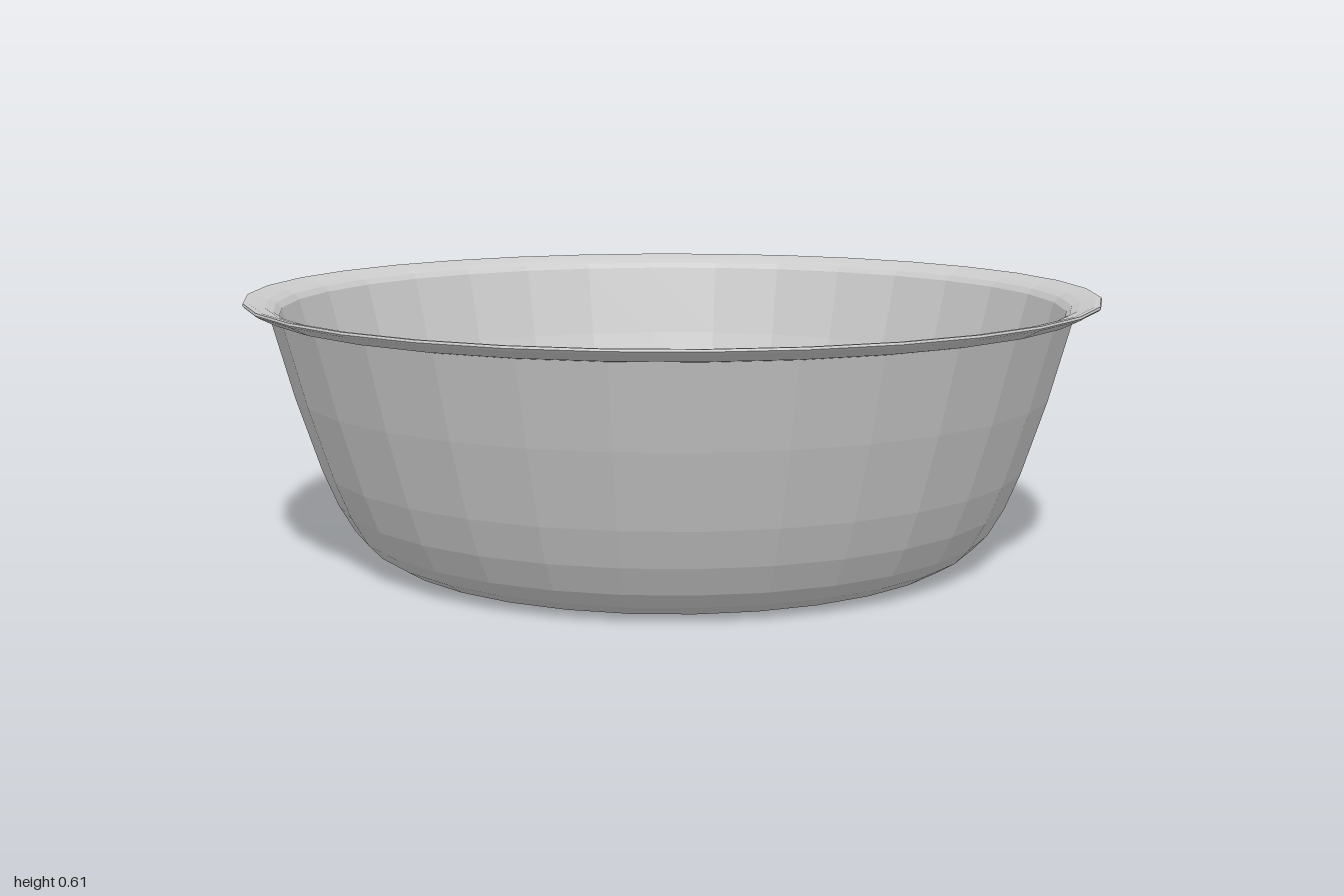
import * as THREE from 'three';

const SIDES = 32;

// Profile halves as [radius, height]
const outerWall = [
  [0, 0], [0.65, 0], [0.69, 0.01], [0.73, 0.035], [0.763, 0.07], [0.80, 0.135],
  [0.835, 0.22], [0.89, 0.39], [0.94, 0.575],
];
const rim = [[0.955, 0.578], [0.995, 0.598], [1, 0.603], [0.998, 0.608], [0.985, 0.607], [0.95, 0.597], [0.932, 0.588]];
const innerWall = [
  [0.92, 0.575], [0.872, 0.395], [0.817, 0.225], [0.782, 0.14], [0.745, 0.078],
  [0.715, 0.045], [0.68, 0.025], [0, 0.02],
];

export function createModel() {
  const group = new THREE.Group();
  const material = new THREE.MeshStandardMaterial({ color: 0xcccccc, flatShading: true });

  // One closed shell: underside, outer wall, flared lip, inner wall, floor
  const profile = [...outerWall, ...rim, ...innerWall].map(([r, y]) => new THREE.Vector2(r, y));
  const bowl = new THREE.Mesh(new THREE.LatheGeometry(profile, SIDES), material);
  bowl.name = 'bowl';
  group.add(bowl);
  return group;
}
